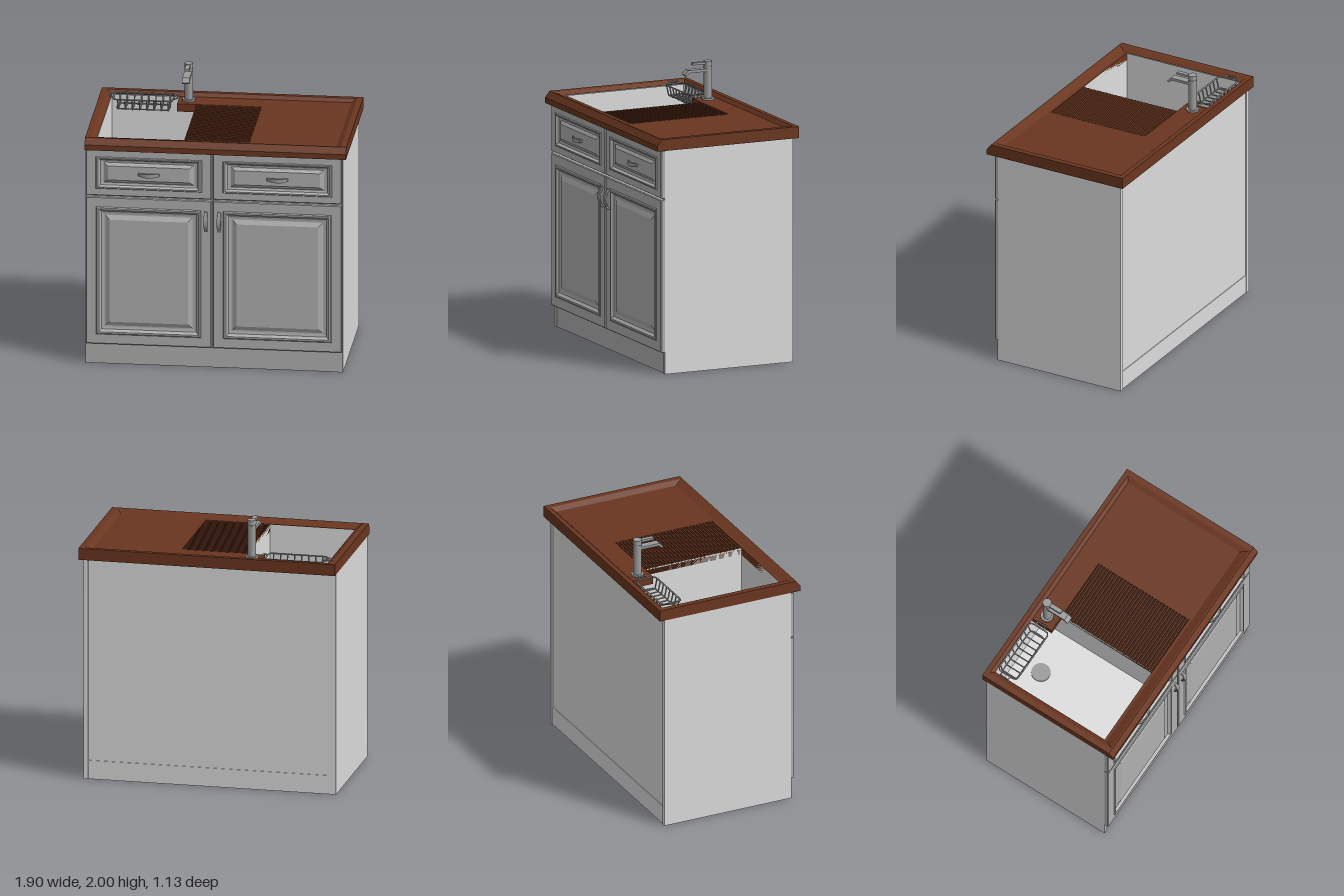
import * as THREE from 'three';

const mat = (name, color, side = THREE.FrontSide) => {
  const m = new THREE.MeshStandardMaterial({ color, side });
  m.name = name;
  return m;
};

// Stack of rectangles [x0, x1, z0, z1, y] joined by flat faces, last one capped
function rings(rects, cap = true) {
  const pos = [];
  const loops = rects.map(([x0, x1, z0, z1, y]) =>
    [[x0, y, z1], [x1, y, z1], [x1, y, z0], [x0, y, z0]]);
  const quad = (a, b, c, d) => pos.push(...a, ...b, ...c, ...a, ...c, ...d);
  for (let i = 0; i + 1 < loops.length; i++) {
    const a = loops[i], b = loops[i + 1];
    for (let k = 0; k < 4; k++) {
      const n = (k + 1) % 4;
      quad(a[k], a[n], b[n], b[k]);
    }
  }
  if (cap) quad(...loops[loops.length - 1]);
  const g = new THREE.BufferGeometry();
  g.setAttribute('position', new THREE.Float32BufferAttribute(pos, 3));
  g.computeVertexNormals();
  return g;
}

export function createModel() {
  const model = new THREE.Group();
  const white = mat('light panel', 0xdcdcdc);
  const ceramic = mat('sink white', 0xdedede, THREE.DoubleSide);
  const grey = mat('front grey', 0xb0b0b0);
  const metal = mat('metal', 0x9c9c9c);
  const wood = mat('brown wood', 0x6a3620);
  const dark = mat('dark groove', 0x3c1e10);

  const add = (name, geo, material, parent = model) => {
    const m = new THREE.Mesh(geo, material);
    m.name = name;
    parent.add(m);
    return m;
  };
  const box = (name, x0, x1, y0, y1, z0, z1, material, parent) => {
    const g = new THREE.BoxGeometry(x1 - x0, y1 - y0, z1 - z0);
    g.translate((x0 + x1) / 2, (y0 + y1) / 2, (z0 + z1) / 2);
    return add(name, g, material, parent);
  };
  const group = (name) => {
    const g = new THREE.Group();
    g.name = name;
    model.add(g);
    return g;
  };

  // Carcass, open at the top under the worktop
  const carcass = group('carcass');
  box('rightSide', -0.95, -0.915, 0, 1.655, -0.53, 0.49, white, carcass);
  box('leftSide', 0.885, 0.92, 0, 1.655, -0.53, 0.49, white, carcass);
  box('backPanel', -0.915, 0.885, 0.14, 1.655, -0.52, -0.505, white, carcass);
  box('backPlinth', -0.915, 0.885, 0, 0.14, -0.525, -0.505, white, carcass);
  box('bottomBoard', -0.915, 0.885, 0.002, 0.03, -0.505, 0.46, white, carcass);
  box('frontBoard', -0.915, 0.885, 0.15, 1.655, 0.465, 0.488, grey, carcass);
  box('toeKick', -0.915, 0.885, 0, 0.15, 0.46, 0.482, grey, carcass);
  for (const x of [-0.95, 0.885])
    box('plinthEnd', x, x + 0.035, 0, 0.16, 0.488, 0.492, grey, carcass);

  // Moulded fronts: inset from the edge and depth
  const profile = [[0, 0.489], [0, 0.514], [0.006, 0.52], [0.075, 0.52], [0.083, 0.526],
    [0.095, 0.526], [0.112, 0.507], [0.13, 0.503], [0.14, 0.503], [0.172, 0.519]];
  const front = (name, x0, x1, y0, y1, sx, sy) => {
    const g = rings(profile.map(([i, d]) =>
      [x0 + i * sx, x1 - i * sx, -y1 + i * sy, -y0 - i * sy, d]));
    g.rotateX(Math.PI / 2);
    add(name, g, grey);
  };

  // Bowed pull handle
  const handle = (name, x, y, upright) => {
    const s = new THREE.Shape();
    s.moveTo(-0.078, 0);
    s.lineTo(-0.074, 0.012);
    s.quadraticCurveTo(0, 0.062, 0.074, 0.012);
    s.lineTo(0.078, 0);
    s.lineTo(0.06, 0);
    s.lineTo(0.055, 0.01);
    s.quadraticCurveTo(0, 0.042, -0.055, 0.01);
    s.lineTo(-0.06, 0);
    const g = new THREE.ExtrudeGeometry(s, { depth: 0.03, bevelEnabled: false, curveSegments: 8 });
    g.translate(0, 0, -0.015);
    // Narrow the ends
    const p = g.attributes.position;
    for (let i = 0; i < p.count; i++)
      if (Math.abs(p.getX(i)) > 0.052) p.setZ(i, p.getZ(i) * 0.7);
    g.rotateX(Math.PI / 2);
    if (upright) g.rotateZ(Math.PI / 2);
    g.translate(x, y, 0.518);
    g.computeVertexNormals();
    add(name, g, metal);
  };

  for (const [x0, x1, knobX] of [[-0.945, -0.032, -0.073], [-0.022, 0.915, 0.024]]) {
    front('door', x0, x1, 0.16, 1.285, 1, 1);
    front('drawerFront', x0, x1, 1.297, 1.645, 0.93, 0.7);
    handle('drawerHandle', (x0 + x1) / 2, 1.468, false);
    handle('doorHandle', knobX, 1.125, true);
  }

  // Worktop rim with sloped front edge and sunken tray
  const top = group('worktop');
  add('worktopRim', rings([
    [-0.92, 0.89, -0.51, 0.47, 1.655],
    [-0.95, 0.95, -0.565, 0.565, 1.655],
    [-0.95, 0.95, -0.565, 0.565, 1.695],
    [-0.95, 0.95, -0.565, 0.53, 1.74],
    [-0.908, 0.908, -0.53, 0.52, 1.74],
    [-0.87, 0.87, -0.505, 0.46, 1.715],
  ], false), wood, top);
  box('trayFloor', 0.235, 0.871, 1.656, 1.715, -0.506, 0.461, wood, top);
  box('tapLedge', -0.38, 0.235, 1.656, 1.715, -0.506, -0.34, wood, top);
  box('frontLedge', -0.871, 0.235, 1.656, 1.715, 0.44, 0.461, wood, top);

  // Ribbed draining board
  const drainer = group('drainingBoard');
  box('drainerBase', -0.24, 0.235, 1.66, 1.7, -0.34, 0.44, dark, drainer);
  const ribs = 30, pitch = 0.78 / ribs;
  for (let i = 0; i < ribs; i++) {
    const z = -0.34 + (i + 0.5) * pitch;
    box('rib', -0.24, 0.235, 1.69, 1.714, z - 0.006, z + 0.006, wood, drainer);
  }

  // Sink basin and drain
  const floorY = 1.33;
  const basin = [-0.87, -0.24, -0.505, 0.44];
  add('sinkBasin', rings([[...basin, 1.712], [...basin, floorY]]), ceramic);
  const drain = new THREE.CylinderGeometry(0.07, 0.07, 0.008, 32);
  drain.translate(-0.575, floorY + 0.004, -0.305);
  add('sinkDrain', drain, metal);

  // Tap
  const tap = group('tap');
  const tx = -0.305, tz = -0.43;
  const cyl = (name, r, y0, y1) => {
    const g = new THREE.CylinderGeometry(r, r, y1 - y0, 28);
    g.translate(tx, (y0 + y1) / 2, tz);
    add(name, g, metal, tap);
  };
  cyl('tapBase', 0.047, 1.715, 1.728);
  cyl('tapBody', 0.031, 1.728, 1.962);
  cyl('tapNeck', 0.028, 1.962, 1.968);
  cyl('tapCap', 0.032, 1.968, 2);
  box('tapLever', tx - 0.016, tx + 0.016, 1.978, 1.995, -0.43, -0.305, metal, tap);
  const sp = new THREE.Shape();
  [[0.43, 1.925], [0.27, 1.925], [0.246, 1.902], [0.233, 1.914], [0.262, 1.945], [0.43, 1.945]]
    .forEach(([u, v], i) => (i ? sp.lineTo(u, v) : sp.moveTo(u, v)));
  const spout = new THREE.ExtrudeGeometry(sp, { depth: 0.054, bevelEnabled: false });
  spout.rotateY(Math.PI / 2);
  spout.translate(tx - 0.027, 0, 0);
  add('tapSpout', spout, metal, tap);

  // Wire dish rack hanging at the back of the sink
  const rack = group('dishRack');
  const wire = (name, pts, closed = false, r = 0.005) => {
    const c = new THREE.CatmullRomCurve3(pts.map((p) => new THREE.Vector3(...p)), closed, 'catmullrom', 0.12);
    add(name, new THREE.TubeGeometry(c, 48, r, 6, closed), metal, rack);
  };
  const loop = (y, x0, x1, z0, z1, c = 0.02) => [
    [x0 + c, y, z0], [x1 - c, y, z0], [x1, y, z0 + c], [x1, y, z1 - c],
    [x1 - c, y, z1], [x0 + c, y, z1], [x0, y, z1 - c], [x0, y, z0 + c]];
  wire('rackRim', loop(1.73, -0.845, -0.415, -0.5, -0.34), true, 0.006);
  wire('rackFoot', loop(1.655, -0.82, -0.44, -0.48, -0.36), true);
  for (let i = 0; i < 8; i++) {
    const x = -0.81 + i * 0.052;
    wire('rackBar', [[x, 1.73, -0.5], [x, 1.65, -0.48], [x, 1.65, -0.36], [x, 1.73, -0.34]]);
  }
  for (const [x, out] of [[-0.845, -0.875], [-0.415, -0.385]])
    wire('rackGrip', [[x, 1.73, -0.46], [out, 1.738, -0.455], [out, 1.738, -0.395], [x, 1.73, -0.39]], false, 0.006);

  return model;
}
